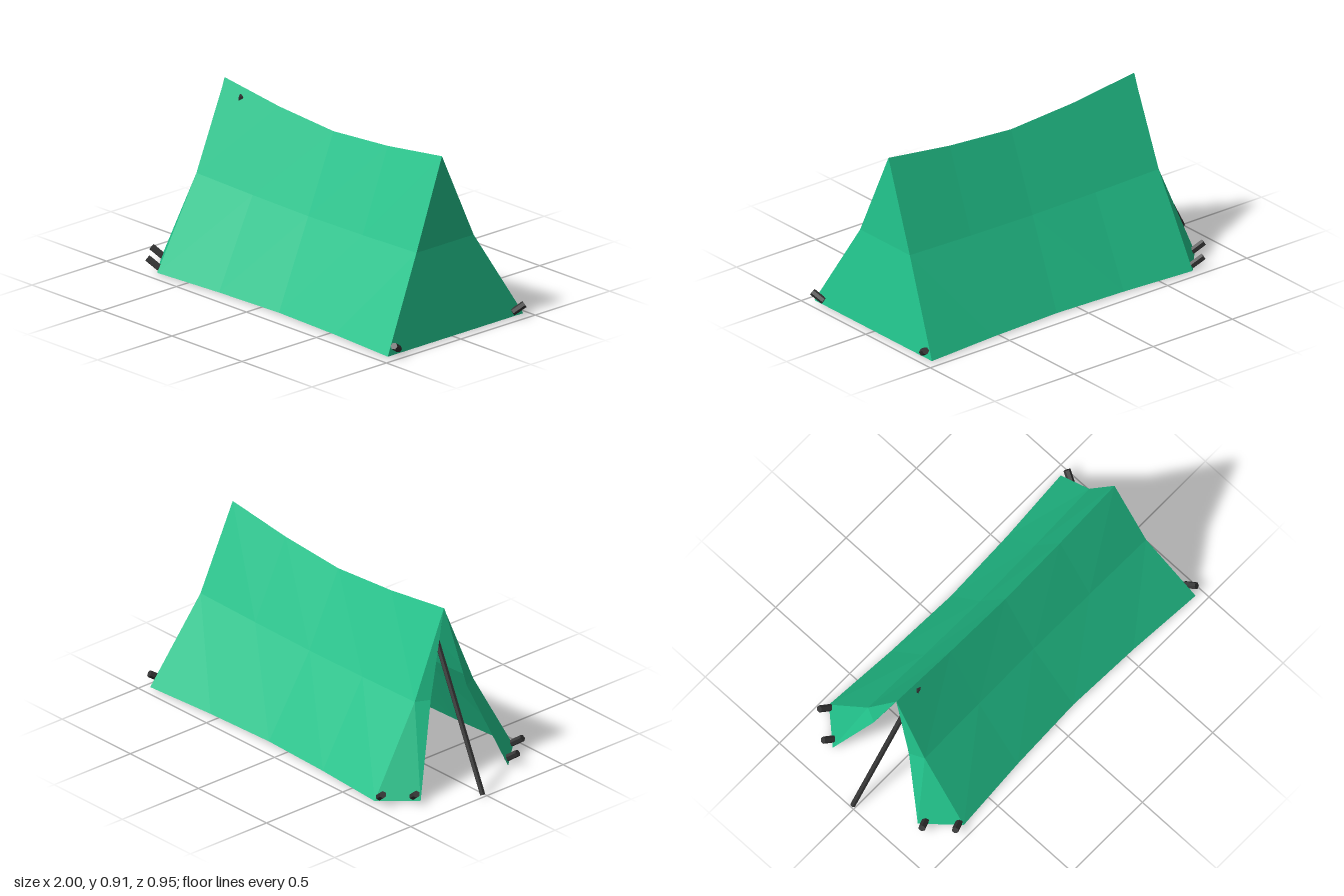
import * as THREE from 'three';

const cloth = new THREE.MeshStandardMaterial({ color: 0x22c48c, flatShading: true, side: THREE.DoubleSide });
const dark = new THREE.MeshStandardMaterial({ color: 0x333333, flatShading: true });
const ZC = -0.005; // ridge line

// Sheet from a point function over a u/v grid; flip keeps the front outward
function sheet(name, nu, nv, point, flip) {
  const pos = [], idx = [];
  for (let j = 0; j <= nv; j++)
    for (let i = 0; i <= nu; i++) pos.push(...point(i, j));
  for (let j = 0; j < nv; j++)
    for (let i = 0; i < nu; i++) {
      const a = j * (nu + 1) + i, b = a + 1, c = a + nu + 1, d = c + 1;
      if (flip) idx.push(a, b, c, b, d, c);
      else idx.push(a, c, b, b, c, d);
    }
  const g = new THREE.BufferGeometry();
  g.setAttribute('position', new THREE.Float32BufferAttribute(pos, 3));
  g.setIndex(idx);
  g.computeVertexNormals();
  const m = new THREE.Mesh(g, cloth);
  m.name = name;
  return m;
}

// Rod between two points
function rod(name, a, b, radius, sides) {
  const from = new THREE.Vector3(...a), to = new THREE.Vector3(...b);
  const dir = to.clone().sub(from);
  const m = new THREE.Mesh(new THREE.CylinderGeometry(radius, radius, dir.length(), sides), dark);
  m.position.copy(from).add(to).multiplyScalar(0.5);
  m.quaternion.setFromUnitVectors(new THREE.Vector3(0, 1, 0), dir.normalize());
  m.name = name;
  return m;
}

// Cross-section rows from ridge to ground: height, half depth, end positions, sag toward the middle
const rows = [
  { y: 0.92, z: 0, x0: -0.69, x1: 0.86, sagY: 0.075, sagZ: 0 },
  { y: 0.47, z: 0.192, x0: -0.69, x1: 0.882, sagY: 0.02, sagZ: 0.012 },
  { y: 0.015, z: 0.455, x0: -0.69, x1: 0.957, sagY: 0, sagZ: 0.043 },
];
const sag = [0, 0.65, 1, 0.65, 0];
// Free edge of each entrance flap, top to bottom
const flapEdge = [[-0.692, 0.915, 0.003], [-0.725, 0.47, 0.118], [-0.84, 0.015, 0.287]];

export function createModel() {
  const tent = new THREE.Group();
  tent.name = 'tent';

  for (const s of [1, -1]) {
    const side = s > 0 ? 'front' : 'back';

    // Sloping wall with sagging ridge and curved hem
    tent.add(sheet(side + 'Wall', 4, 2, (i, j) => {
      const r = rows[j];
      return [r.x0 + (r.x1 - r.x0) * i / 4, r.y - r.sagY * sag[i], ZC + s * (r.z - r.sagZ * sag[i])];
    }, s < 0));

    // Entrance flap folded outward
    tent.add(sheet(side + 'EntranceFlap', 1, 2, (i, j) => {
      const r = rows[j], f = flapEdge[j];
      return i ? [r.x0, r.y, ZC + s * r.z] : [f[0], f[1], ZC + s * f[2]];
    }, s < 0));

    // Ground pegs, leaning outward
    const pegs = [
      [-0.727, 0.055, 0.446, -0.056, 0.042, 0.026],
      [-0.832, 0.055, 0.32, -0.056, 0.042, 0.026],
      [0.97, 0.055, 0.41, 0.026, 0.036, 0.056],
    ];
    for (const [x, y, z, dx, dy, dz] of pegs)
      tent.add(rod(side + 'Peg',
        [x - dx / 2, y - dy / 2, ZC + s * (z - dz / 2)],
        [x + dx / 2, y + dy / 2, ZC + s * (z + dz / 2)], 0.018, 6));
  }

  // Closed end wall
  tent.add(sheet('endWall', 2, 2, (i, j) => {
    const r = rows[j];
    return [r.x1, r.y, ZC + (1 - i) * r.z];
  }, false));

  // Leaning entrance pole, its tip just showing through the cloth
  tent.add(rod('entrancePole', [-0.987, 0.012, -0.016], [-0.55, 0.866, 0.01], 0.014, 6));
  return tent;
}
